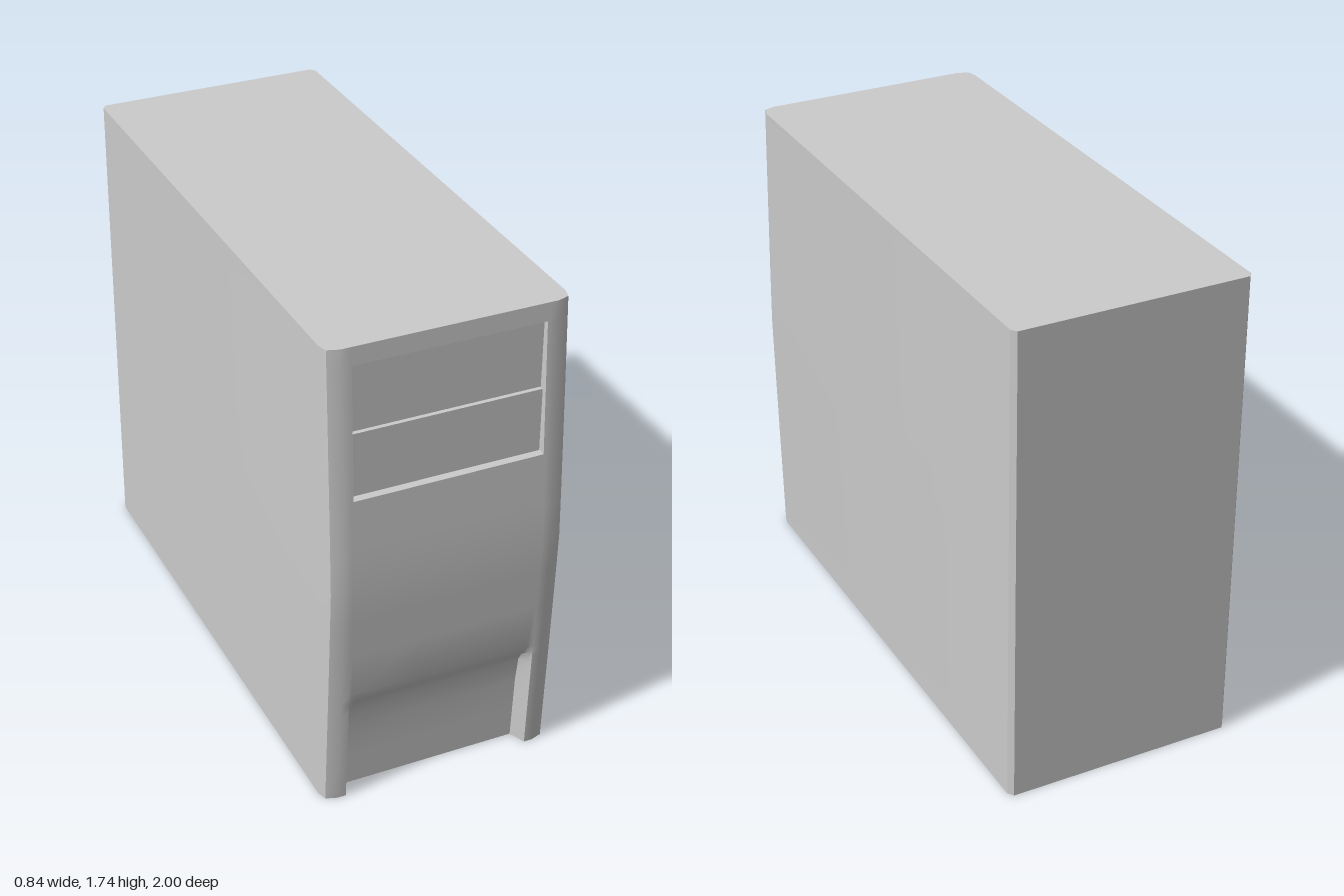
import * as THREE from 'three';
import { toCreasedNormals } from 'three/addons/utils/BufferGeometryUtils.js';

const H = 1.735;
const material = new THREE.MeshStandardMaterial({ color: 0xcccccc });
const { clamp } = THREE.MathUtils;

// Depth of the scooped intake at the foot of the front, from bottom to top
const SCOOP = [[0, 0.058], [0.25, 0.055], [0.35, 0.045], [0.38, 0.03], [0.405, 0.012], [0.435, 0]];

function scoopDepth(y) {
  for (let i = 1; i < SCOOP.length; i++) {
    const [y0, d0] = SCOOP[i - 1], [y1, d1] = SCOOP[i];
    if (y <= y1) return d0 + (d1 - d0) * (y - y0) / (y1 - y0);
  }
  return 0;
}

// Front surface: bowed in height, rounded off at the sides, with scoop and drive bay
function frontZ(x, y) {
  const ax = Math.abs(x);
  if (ax < 0.3325 && y > 1.1995 && y < 1.6705) return 0.945;
  const bow = 1 - 0.04 * Math.pow(Math.abs(y / H * 2 - 1), 1.1);
  const edge = 0.013 * clamp((ax - 0.37) / 0.04, 0, 1);
  const scoop = scoopDepth(y) * clamp((0.34 - ax) / 0.025, 0, 1);
  return bow - edge - scoop;
}

// Horizontal outline of the case at height y, as [x, z]
function outline(y) {
  const half = [0.1, 0.315, 0.332, 0.333, 0.34, 0.37, 0.41];
  const xs = [...half.map(x => -x).reverse(), ...half];
  const sideZ = frontZ(0.41, y) - 0.035;
  return [
    ...xs.map(x => [x, frontZ(x, y)]),
    [0.42, sideZ], [0.42, -0.98], [0.405, -1],
    [-0.405, -1], [-0.42, -0.98], [-0.42, sideZ],
  ];
}

// Case: outlines lofted from bottom to top and capped
function caseGeometry() {
  const ys = [0, 0.12, 0.25, 0.3, 0.35, 0.365, 0.38, 0.405, 0.435, 0.6, 0.75, 0.8675,
    1, 1.1, 1.199, 1.2, 1.43, 1.67, 1.671, H];
  const rings = ys.map(outline);
  const n = rings[0].length;
  const positions = [], indices = [];
  rings.forEach((ring, j) => ring.forEach(([x, z]) => positions.push(x, ys[j], z)));
  for (let j = 0; j < ys.length - 1; j++) {
    for (let i = 0; i < n; i++) {
      const a = j * n + i, b = j * n + (i + 1) % n;
      indices.push(a, b, b + n, a, b + n, a + n);
    }
  }
  const cap = ring => THREE.ShapeUtils.triangulateShape(ring.map(([x, z]) => new THREE.Vector2(x, -z)), []);
  const top = (ys.length - 1) * n;
  cap(rings[0]).forEach(([a, b, c]) => indices.push(a, c, b));
  cap(rings[ys.length - 1]).forEach(([a, b, c]) => indices.push(top + a, top + b, top + c));

  const geometry = new THREE.BufferGeometry();
  geometry.setAttribute('position', new THREE.Float32BufferAttribute(positions, 3));
  geometry.setIndex(indices);
  return toCreasedNormals(geometry, 0.5);
}

export function createModel() {
  const group = new THREE.Group();
  group.name = 'computerTower';

  const body = new THREE.Mesh(caseGeometry(), material);
  body.name = 'case';
  group.add(body);

  // Drive covers: the lower one stands slightly proud of the upper one
  for (const [name, y0, y1, z] of [['lowerDriveCover', 1.203, 1.43, 0.963], ['upperDriveCover', 1.43, 1.668, 0.948]]) {
    const cover = new THREE.Mesh(new THREE.BoxGeometry(0.658, y1 - y0, 0.03), material);
    cover.name = name;
    cover.position.set(0, (y0 + y1) / 2, z - 0.015);
    group.add(cover);
  }
  return group;
}
